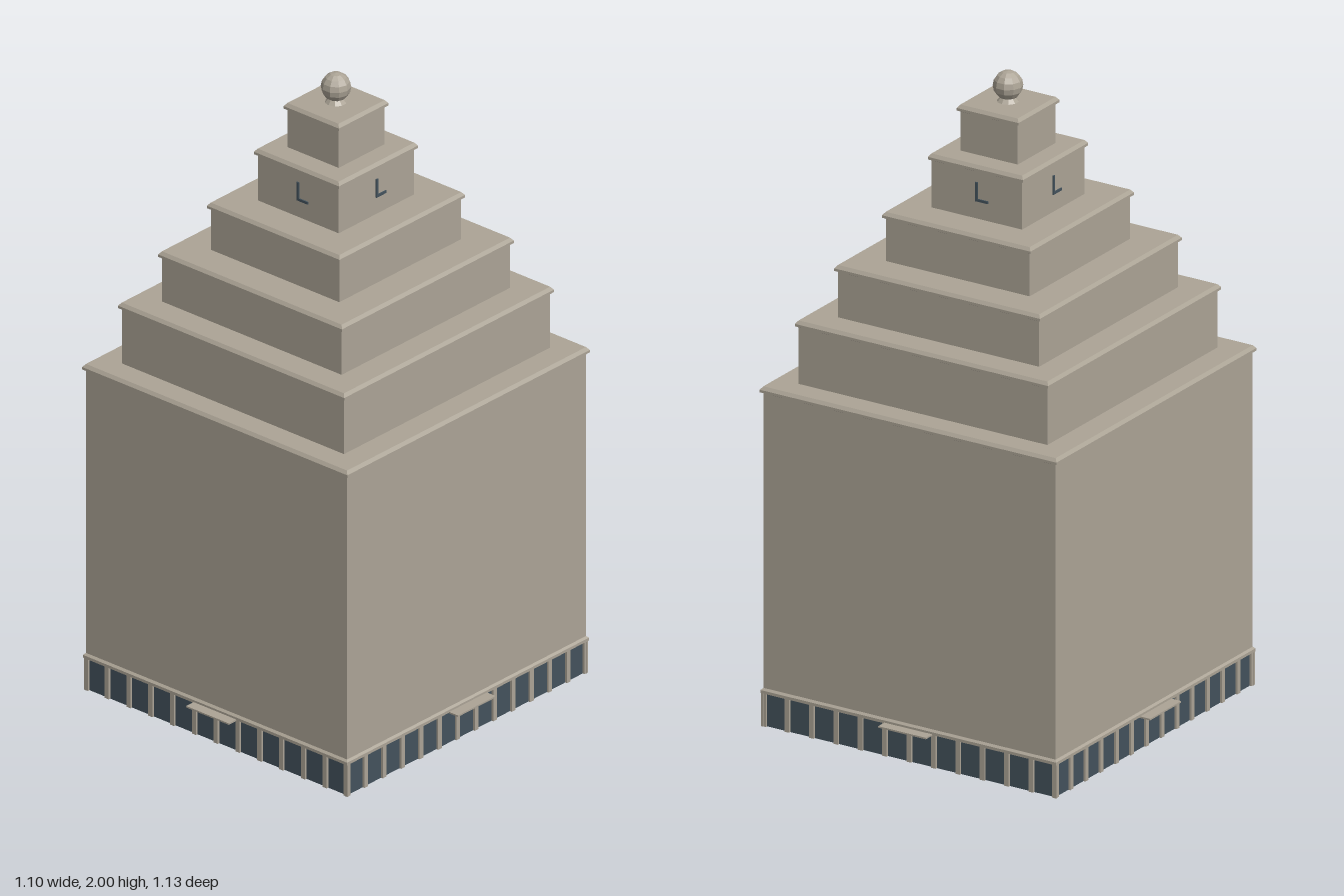
import * as THREE from 'three';

// Square-sided shell through rings [y, halfX, halfZ], optionally roofed
function shell(rings, roof) {
  const p = [];
  const corners = ([y, x, z]) => [[x, y, z], [x, y, -z], [-x, y, -z], [-x, y, z]];
  const quad = (a, b, c, d) => p.push(...a, ...b, ...c, ...a, ...c, ...d);
  for (let r = 0; r < rings.length - 1; r++) {
    const lo = corners(rings[r]), hi = corners(rings[r + 1]);
    for (let i = 0; i < 4; i++) {
      const j = (i + 1) % 4;
      quad(lo[i], lo[j], hi[j], hi[i]);
    }
  }
  if (roof) quad(...corners(rings[rings.length - 1]));
  const g = new THREE.BufferGeometry();
  g.setAttribute('position', new THREE.Float32BufferAttribute(p, 3));
  g.computeVertexNormals();
  return g;
}

export function createModel() {
  const model = new THREE.Group();
  model.name = 'steppedTower';
  const stone = new THREE.MeshStandardMaterial({ color: 0xaca496, side: THREE.DoubleSide, flatShading: true });
  stone.name = 'stone';
  const glass = new THREE.MeshStandardMaterial({ color: 0x43525c, side: THREE.DoubleSide, flatShading: true });
  glass.name = 'dark glass';

  const add = (parent, name, geometry, material, x = 0, y = 0, z = 0) => {
    const m = new THREE.Mesh(geometry, material);
    m.name = name;
    m.position.set(x, y, z);
    parent.add(m);
    return m;
  };

  // Stepped tiers: bottom, top, half width, half depth, each with a cornice
  const tiers = [
    [0.105, 1.07, 0.51, 0.525],
    [1.07, 1.27, 0.434, 0.453],
    [1.27, 1.435, 0.351, 0.37],
    [1.435, 1.59, 0.251, 0.268],
    [1.59, 1.76, 0.158, 0.166],
    [1.76, 1.905, 0.1, 0.101],
  ];
  const lip = 0.008;
  tiers.forEach(([y0, y1, x, z], i) => {
    add(model, `tier${i + 1}`, shell([
      [y0, x, z], [y1 - 0.022, x, z], [y1 - 0.018, x + lip, z + lip],
      [y1 - 0.01, x + lip, z + lip], [y1, x, z],
    ], true), stone);
  });

  // Ground floor glazing and the ledge over it
  add(model, 'shopGlass', shell([[0, 0.507, 0.522], [0.105, 0.507, 0.522]], false), glass);
  add(model, 'shopLedge', shell([
    [0.105, 0.51, 0.525], [0.105, 0.516, 0.532], [0.114, 0.516, 0.532], [0.12, 0.51, 0.525],
  ], false), stone);

  // Four sides: piers, canopy and clock hands
  const sides = [
    ['front', 0, 0.51, 0.525, 12, 0.166],
    ['left', 1, 0.525, 0.51, 13, 0.158],
    ['back', 2, 0.51, 0.525, 12, 0.166],
    ['right', 3, 0.525, 0.51, 13, 0.158],
  ];
  for (const [name, turn, half, out, bays, clockOut] of sides) {
    const side = new THREE.Group();
    side.name = `${name}Side`;
    side.rotation.y = turn * Math.PI / 2;
    model.add(side);

    const pitch = 2 * (half + 0.001) / bays;
    for (let i = 0; i <= bays; i++) {
      const end = i === 0 ? 0.004 : i === bays ? -0.004 : 0;
      add(side, 'pier', new THREE.BoxGeometry(0.016, 0.105, 0.008), stone,
        -half - 0.001 + i * pitch + end, 0.0525, out);
    }
    add(side, 'canopy', new THREE.BoxGeometry(0.166, 0.005, 0.044), stone, 0, 0.105, out + 0.018);

    add(side, 'minuteHand', new THREE.BoxGeometry(0.008, 0.06, 0.004), glass, 0, 1.675, clockOut + 0.002);
    add(side, 'hourHand', new THREE.BoxGeometry(0.044, 0.008, 0.004), glass, 0.018, 1.649, clockOut + 0.002);
  }

  // Ball finial on its small foot
  add(model, 'finialFoot', new THREE.CylinderGeometry(0.022, 0.034, 0.014, 10), stone, 0, 1.911, 0);
  add(model, 'finialBall', new THREE.SphereGeometry(0.045, 10, 8), stone, 0, 1.955, 0);
  return model;
}
